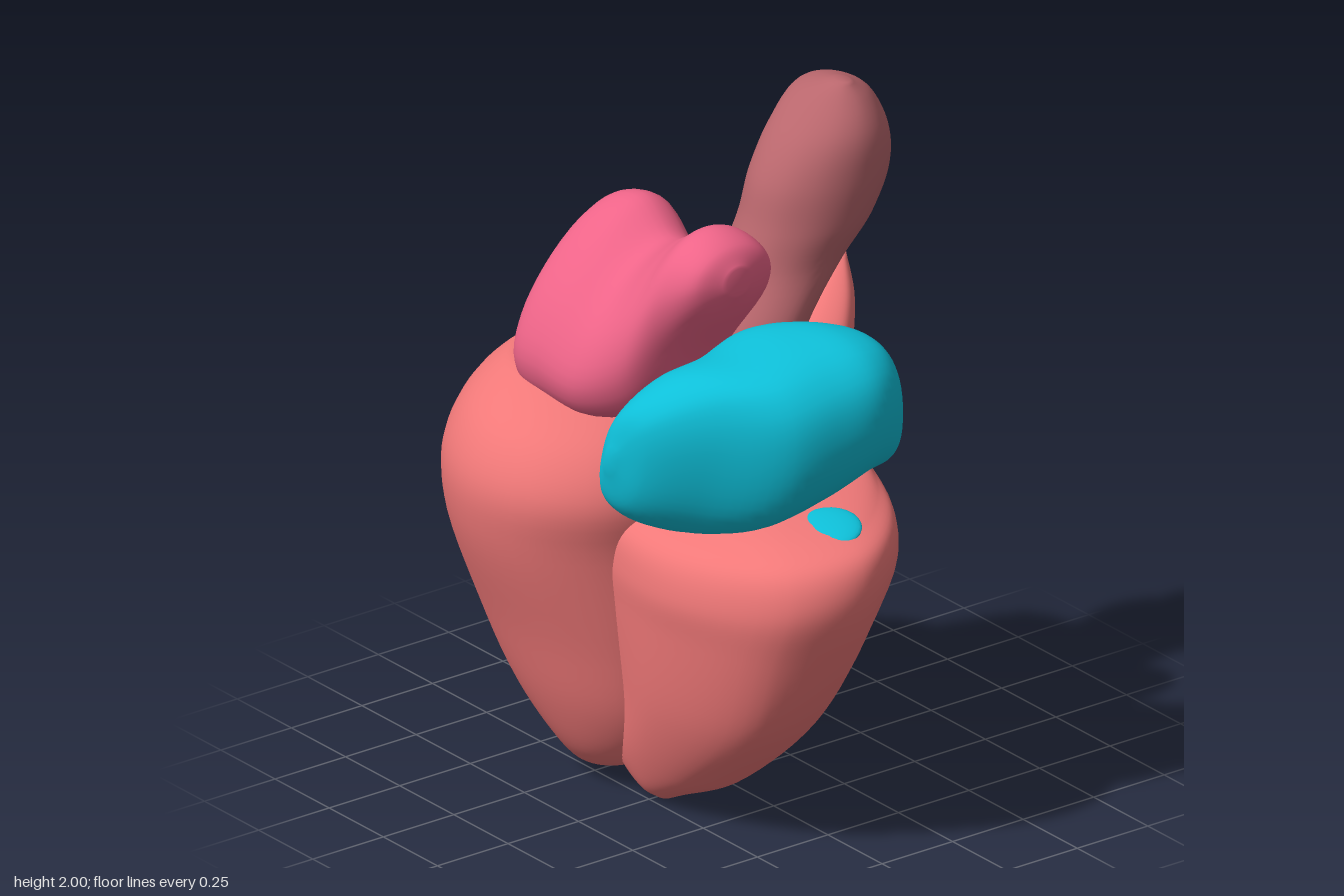
import * as THREE from 'three';

const V = (x, y, z) => new THREE.Vector3(x, y, z);
const COLORS = { muscle: 0xf07878, cyan: 0x0ebfd8, pink: 0xee6488, artery: 0xb8666c, blue: 0x1f88c6 };

// Rings of control points lying across each axis
const around = (n, f) => Array.from({ length: n }, (_, i) => {
  const a = (i / n) * Math.PI * 2;
  return f(Math.cos(a), Math.sin(a));
});
const square = v => Math.sign(v) * Math.abs(v) ** 0.85;
// Squarish ring whose top leans toward +z
const ringX = (x, cy, cz, ry, rz, lean) =>
  around(12, (c, s) => V(x, cy + ry * square(s), cz + rz * square(c) + lean * ry * s));
// Level ring, optionally skewed in plan
const ringY = (y, cx, cz, rx, rz, skew = 0, n = 12) =>
  around(n, (c, s) => V(cx + rx * c + skew * rz * s, y, cz + rz * s));
// Egg-shaped ring, narrow at the top and leaning toward +x
const ringZ = (z, cx, cy, rx, ry, lean) =>
  around(12, (c, s) => V(cx + rx * c * (1 - 0.5 * lean * s) + lean * ry * s, cy + ry * s, z));

// Smooth closed skin over a stack of rings
function loft(rings, nu = 48, nv = 56) {
  const columns = rings[0].map((_, i) => new THREE.CatmullRomCurve3(rings.map(r => r[i])));
  const pos = [], idx = [];
  for (let j = 0; j <= nv; j++) {
    const loop = new THREE.CatmullRomCurve3(columns.map(c => c.getPoint(j / nv)), true);
    for (let i = 0; i < nu; i++) pos.push(...loop.getPoint(i / nu).toArray());
  }
  for (let j = 0; j < nv; j++) {
    for (let i = 0; i < nu; i++) {
      const k = (i + 1) % nu, a = j * nu + i, b = j * nu + k, c = a + nu, d = b + nu;
      idx.push(a, c, b, b, c, d);
    }
  }
  // End caps
  const centre = ring => ring.reduce((s, p) => s.add(p), V(0, 0, 0)).divideScalar(ring.length);
  const first = pos.length / 3, last = first + 1, top = nv * nu;
  pos.push(...centre(rings[0]).toArray(), ...centre(rings[rings.length - 1]).toArray());
  for (let i = 0; i < nu; i++) {
    const k = (i + 1) % nu;
    idx.push(first, i, k, last, top + k, top + i);
  }
  // Turn the faces outward, judged by signed volume
  let volume = 0;
  const at = i => V(pos[3 * i], pos[3 * i + 1], pos[3 * i + 2]);
  for (let t = 0; t < idx.length; t += 3) volume += at(idx[t]).dot(at(idx[t + 1]).cross(at(idx[t + 2])));
  if (volume < 0) idx.reverse();
  const geo = new THREE.BufferGeometry();
  geo.setAttribute('position', new THREE.Float32BufferAttribute(pos, 3));
  geo.setIndex(idx);
  geo.computeVertexNormals();
  return geo;
}

export function createModel() {
  const group = new THREE.Group();
  const add = (name, geo, color) => {
    const mesh = new THREE.Mesh(geo, new THREE.MeshStandardMaterial({ color }));
    mesh.name = name;
    group.add(mesh);
    return mesh;
  };

  // Rear ventricle: egg with a shallow dish on top
  add('leftVentricle', loft([
    [0.03, -0.23, -0.28, 0.03, 0.05],
    [0.05, -0.2, -0.26, 0.1, 0.12],
    [0.12, -0.18, -0.25, 0.18, 0.22],
    [0.27, -0.17, -0.28, 0.265, 0.34],
    [0.5, -0.17, -0.32, 0.345, 0.41],
    [0.8, -0.195, -0.34, 0.425, 0.43],
    [0.97, -0.2, -0.33, 0.435, 0.44],
    [1.1, -0.19, -0.34, 0.385, 0.385],
    [1.19, -0.17, -0.38, 0.29, 0.28],
    [1.225, -0.16, -0.43, 0.2, 0.17],
    [1.18, -0.16, -0.38, 0.1, 0.1],
    [1.16, -0.16, -0.38, 0.02, 0.02],
  ].map(r => ringY(...r, -0.08))), COLORS.muscle);

  // Front ventricle: crescent body, eight [x, z] corners per level from +x toward +z
  const body = [
    [0.37, [[0.09, -0.12], [0.06, 0.3], [-0.1, 0.545], [-0.28, 0.5], [-0.38, 0.17], [-0.3, -0.1], [-0.1, -0.28], [0.08, -0.32]]],
    [0.65, [[0.21, -0.12], [0.14, 0.44], [-0.07, 0.71], [-0.3, 0.63], [-0.42, 0.24], [-0.34, -0.1], [-0.03, -0.32], [0.19, -0.36]]],
    [0.85, [[0.32, -0.06], [0.21, 0.54], [-0.06, 0.77], [-0.29, 0.69], [-0.43, 0.3], [-0.35, -0.1], [0, -0.3], [0.24, -0.33]]],
    [0.95, [[0.38, -0.03], [0.23, 0.5], [-0.04, 0.74], [-0.27, 0.66], [-0.4, 0.28], [-0.33, -0.08], [0.02, -0.26], [0.28, -0.28]]],
    [0.99, [[0.4, -0.03], [0.23, 0.42], [-0.03, 0.63], [-0.21, 0.56], [-0.3, 0.25], [-0.2, -0.05], [0.08, -0.22], [0.3, -0.26]]],
  ].map(([y, pts]) => pts.map(([x, z]) => V(x, y > 0.8 ? y - 0.25 * Math.max(0, -x - 0.15) : y, z)));
  // Its top narrows into a leaning horn
  const level = r => ringY(...r, 0, 8);
  add('rightVentricle', loft([
    ...[[0, -0.2, 0, 0.02, 0.03], [0.03, -0.19, 0, 0.07, 0.09], [0.13, -0.17, 0.04, 0.14, 0.25]].map(level),
    ...body,
    ...[
      [1.06, 0.22, -0.05, 0.21, 0.21],
      [1.2, 0.335, -0.07, 0.135, 0.17],
      [1.35, 0.435, -0.09, 0.075, 0.11],
      [1.46, 0.495, -0.09, 0.015, 0.02],
    ].map(level),
  ], 64, 72), COLORS.muscle);

  // Front atrium: bean that leans forward, with a blunt raised end
  add('rightAtrium', loft([
    [-0.555, 1.2, 0.21, 0.03, 0.02, 0.3],
    [-0.52, 1.2, 0.24, 0.16, 0.1, 0.3],
    [-0.4, 1.215, 0.3, 0.25, 0.195, 0.3],
    [-0.25, 1.24, 0.39, 0.27, 0.275, 0.25],
    [-0.1, 1.295, 0.425, 0.25, 0.295, 0.12],
    [0.03, 1.335, 0.49, 0.215, 0.235, 0.05],
    [0.13, 1.325, 0.52, 0.185, 0.155, 0],
    [0.19, 1.28, 0.49, 0.11, 0.08, 0],
    [0.21, 1.27, 0.46, 0.02, 0.02, 0],
  ].map(r => ringX(...r))), COLORS.cyan);

  // Rear atrium: two lobes with a saddle between
  add('leftAtrium', loft([
    [0.27, -0.14, 1.66, 0.04, 0.04, 0],
    [0.23, -0.13, 1.65, 0.135, 0.105, 0],
    [0.13, -0.14, 1.59, 0.175, 0.19, 0.05],
    [0.02, -0.18, 1.46, 0.18, 0.25, 0.2],
    [-0.12, -0.18, 1.4, 0.21, 0.25, 0.38],
    [-0.28, -0.17, 1.43, 0.22, 0.285, 0.4],
    [-0.4, -0.18, 1.41, 0.2, 0.265, 0.38],
    [-0.47, -0.19, 1.33, 0.15, 0.17, 0.25],
    [-0.505, -0.19, 1.33, 0.04, 0.04, 0],
  ].map(r => ringZ(...r))), COLORS.pink);

  // Leaning great vessel with a wider foot
  add('aorta', loft([
    [1.13, 0.08, -0.06, 0.05, 0.06],
    [1.16, 0.08, -0.06, 0.13, 0.16],
    [1.25, 0.08, -0.07, 0.18, 0.21],
    [1.36, 0.15, -0.08, 0.185, 0.19],
    [1.5, 0.285, -0.09, 0.185, 0.165],
    [1.62, 0.365, -0.08, 0.205, 0.17],
    [1.75, 0.415, -0.08, 0.215, 0.17],
    [1.86, 0.45, -0.09, 0.175, 0.16],
    [1.95, 0.485, -0.11, 0.1, 0.125],
    [2.0, 0.48, -0.06, 0.02, 0.03],
  ].map(r => ringY(...r))), COLORS.artery);

  // Small thin valve leaves
  const leaf = (name, color, centre, size, turn) => {
    const mesh = add(name, new THREE.SphereGeometry(1, 24, 16), color);
    mesh.position.set(...centre);
    mesh.scale.set(...size);
    mesh.rotation.set(...turn);
  };
  leaf('pulmonaryValve', COLORS.blue, [0.42, 1.4, -0.21], [0.11, 0.022, 0.08], [0, 0, 0.7]);
  leaf('frontValve', COLORS.cyan, [-0.05, 0.985, 0.57], [0.09, 0.02, 0.1], [0.1, 0, 0.2]);

  return group;
}
